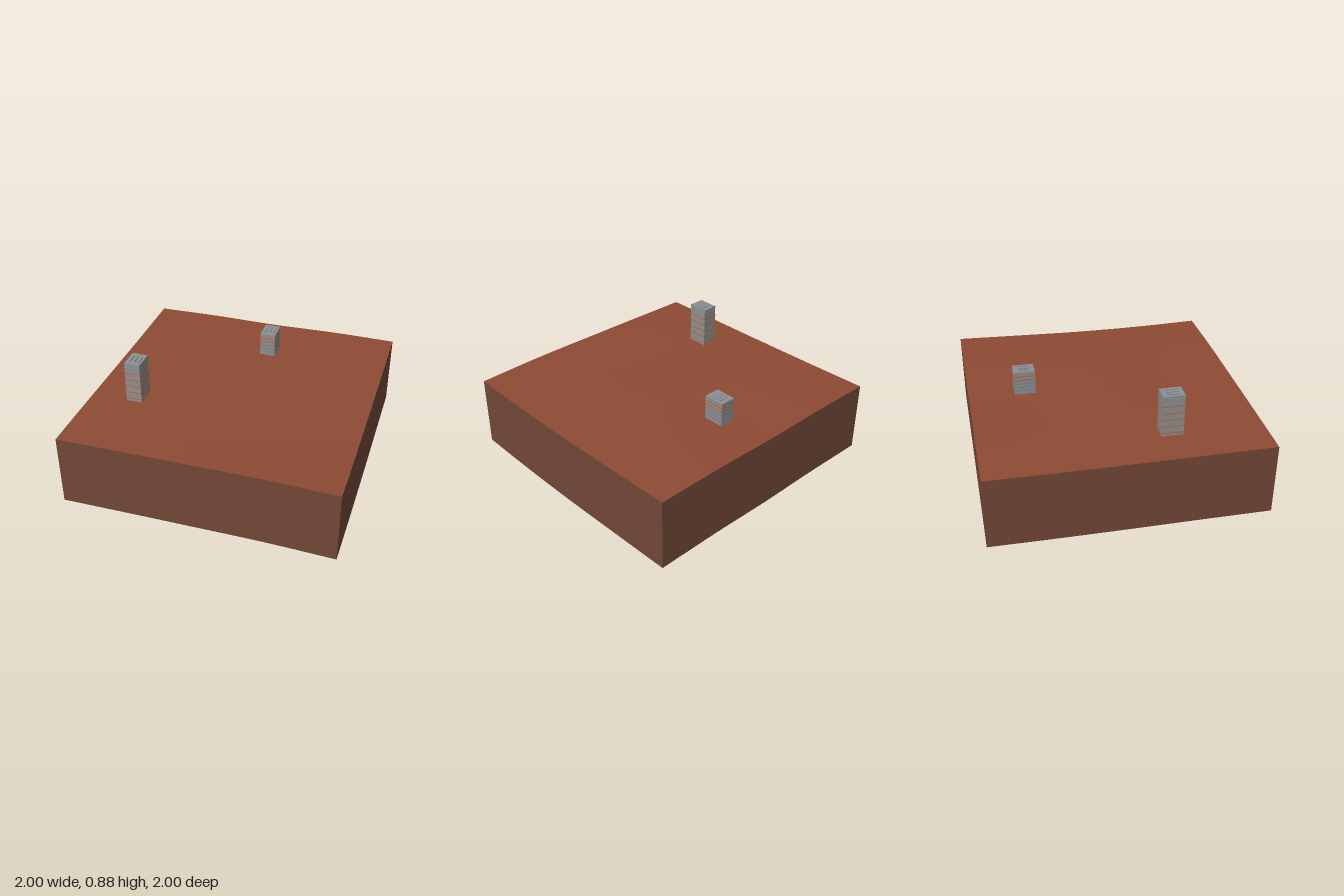
import * as THREE from 'three';

const mat = (name, color, side = THREE.FrontSide) => {
  const m = new THREE.MeshStandardMaterial({ color, side });
  m.name = name;
  return m;
};

// Terrain heights, rows from back (z = -1) to front, columns from x = -1 to 1
const HEIGHTS = [
  [0.568, 0.575, 0.572, 0.582, 0.580],
  [0.560, 0.566, 0.567, 0.572, 0.562],
  [0.556, 0.562, 0.567, 0.566, 0.546],
  [0.554, 0.557, 0.557, 0.556, 0.542],
  [0.550, 0.556, 0.560, 0.562, 0.550],
];
const SKIRT = 0.54;

// Smooth curve through evenly spaced values, t from -1 to 1
function spline(values, t) {
  const u = THREE.MathUtils.clamp((t + 1) * 2, 0, 4);
  const i = Math.min(3, Math.floor(u)), f = u - i;
  const b = values[i], c = values[i + 1];
  const a = i > 0 ? values[i - 1] : 2 * b - c;
  const d = i < 3 ? values[i + 2] : 2 * c - b;
  return b + 0.5 * f * (c - a + f * (2 * a - 5 * b + 4 * c - d + f * (3 * (b - c) + d - a)));
}
const heightAt = (x, z) => spline(HEIGHTS.map((row) => spline(row, x)), z);

// Gently rolling ground sheet
function ground(material) {
  const geo = new THREE.PlaneGeometry(2, 2, 32, 32).rotateX(-Math.PI / 2);
  const p = geo.attributes.position;
  for (let i = 0; i < p.count; i++) p.setY(i, heightAt(p.getX(i), p.getZ(i)));
  geo.computeVertexNormals();
  const mesh = new THREE.Mesh(geo, material);
  mesh.name = 'ground';
  return mesh;
}

// One wall hanging from the ground's edge, its lower rim following the upper one
function wall(name, angle, material) {
  const geo = new THREE.PlaneGeometry(2, 1, 32, 1).translate(0, 0, 1).rotateY(angle);
  const p = geo.attributes.position;
  for (let i = 0; i < p.count; i++) {
    const top = heightAt(p.getX(i), p.getZ(i));
    p.setY(i, p.getY(i) > 0 ? top : top - SKIRT);
  }
  const mesh = new THREE.Mesh(geo, material);
  mesh.name = name;
  return mesh;
}

function box(name, w, h, d, x, y, z, material) {
  const mesh = new THREE.Mesh(new THREE.BoxGeometry(w, h, d), material);
  mesh.position.set(x, y, z);
  mesh.name = name;
  return mesh;
}

// Block tower with floor bands and three roof strips
function tower(name, x, z, bottom, top, orangeBands, greyBands, m) {
  const g = new THREE.Group();
  g.name = name;
  g.position.set(x, 0, z);
  const w = 0.118, d = 0.156;
  g.add(box('towerBody', w, top - bottom, d, 0, (top + bottom) / 2, 0, m.concrete));
  for (const y of orangeBands) g.add(box('orangeBand', w + 0.003, 0.008, d + 0.003, 0, y, 0, m.orange));
  for (const y of greyBands) g.add(box('greyBand', w + 0.002, 0.004, d + 0.002, 0, y, 0, m.slate));
  for (const i of [-1, 0, 1]) g.add(box('roofStrip', 0.016, 0.008, 0.08, i * 0.032, top + 0.003, 0, m.concrete));
  return g;
}

export function createModel() {
  const m = {
    soil: mat('red soil', 0x8e4b34, THREE.DoubleSide),
    earth: mat('brown earth', 0x724837, THREE.DoubleSide),
    concrete: mat('grey concrete', 0x8c9094),
    orange: mat('orange band', 0xc4662f),
    slate: mat('slate band', 0x747b82),
  };
  const model = new THREE.Group();
  model.name = 'terrainTile';
  model.add(ground(m.soil));
  ['frontWall', 'leftWall', 'backWall', 'rightWall'].forEach((name, i) =>
    model.add(wall(name, (i * Math.PI) / 2, m.earth)));
  model.add(tower('tallTower', -0.667, 0.333, 0.55, 0.87,
    [0.58, 0.632, 0.684, 0.737, 0.79], [], m));
  model.add(tower('shortTower', 0.08, -0.585, 0.568, 0.75,
    [0.686, 0.715], [0.597, 0.627, 0.656], m));
  return model;
}
